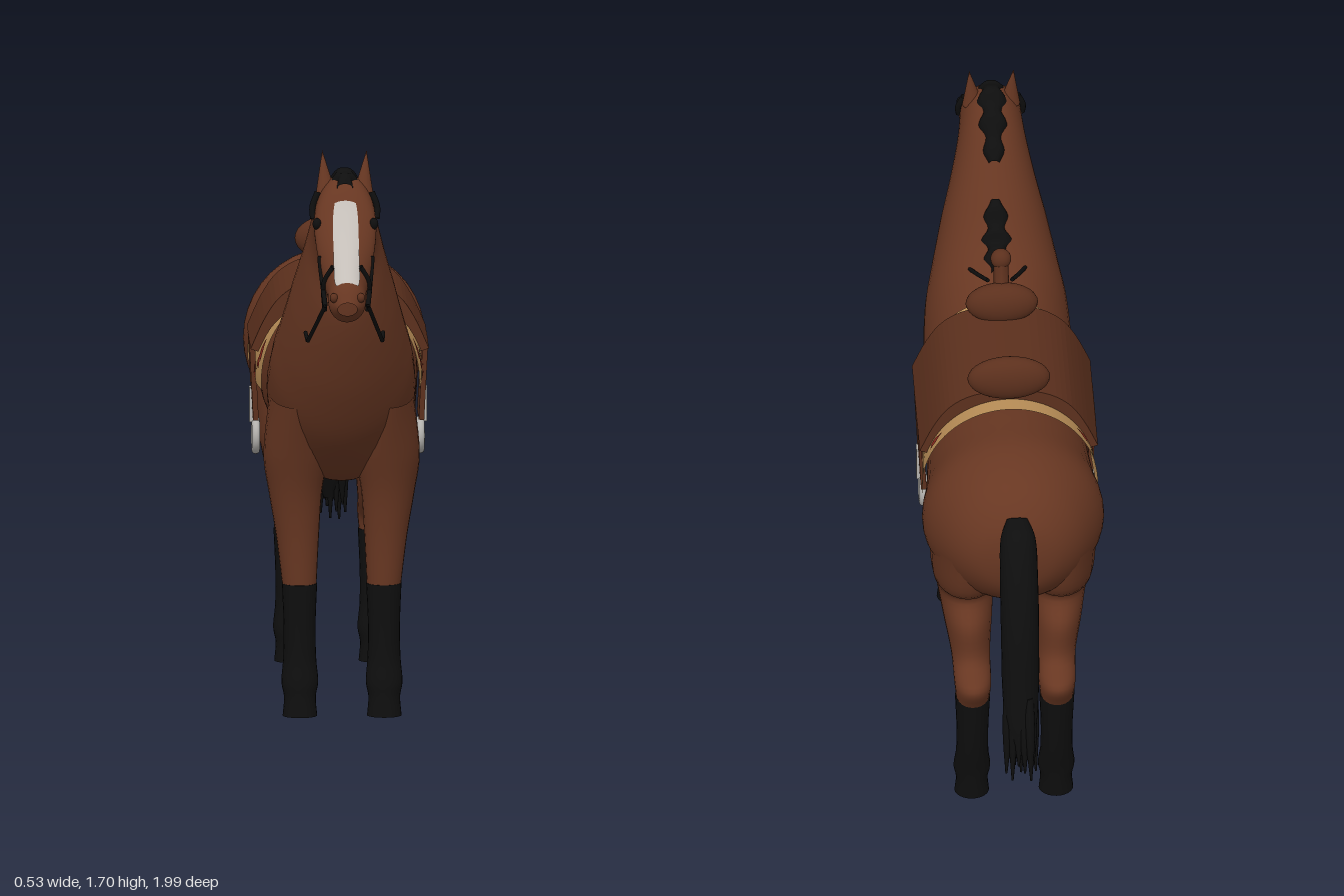
import * as THREE from 'three';

const mat = (name, color, double) => {
  const m = new THREE.MeshStandardMaterial({ color });
  m.name = name;
  if (double) m.side = THREE.DoubleSide;
  return m;
};

// A ring is [edgeA z, edgeA y, edgeB z, edgeB y, half width, centre x].
function section(rings) {
  const a = new THREE.CatmullRomCurve3(rings.map(r => new THREE.Vector3(r[4], r[1], r[0])));
  const b = new THREE.CatmullRomCurve3(rings.map(r => new THREE.Vector3(r[5] || 0, r[3], r[2])));
  const n = rings.length - 1;
  const point = (u, th, off = 0) => {
    const p = a.getPoint(u / n), q = b.getPoint(u / n);
    const hy = (p.y - q.y) / 2, hz = (p.z - q.z) / 2;
    const k = Math.cos(th) * (1 + off / Math.max(Math.hypot(hy, hz), 0.001));
    return new THREE.Vector3(q.x + (p.x + off) * Math.sin(th), (p.y + q.y) / 2 + hy * k, (p.z + q.z) / 2 + hz * k);
  };
  const width = u => a.getPoint(u / n).x;
  // Ring position whose upper edge lies at a given z
  const atZ = z => {
    let lo = 0, hi = n;
    for (let i = 0; i < 30; i++) {
      const m = (lo + hi) / 2;
      if (a.getPoint(m / n).z < z) lo = m; else hi = m;
    }
    return lo;
  };
  return { point, width, atZ, n };
}

// Grid surface from point(i/rows, j/cols); wrap closes each ring, caps close the ends
function grid(fn, rows, cols, wrap) {
  const pos = [], idx = [], stride = wrap ? cols : cols + 1;
  for (let i = 0; i <= rows; i++)
    for (let j = 0; j < stride; j++) pos.push(...fn(i / rows, j / cols).toArray());
  for (let i = 0; i < rows; i++)
    for (let j = 0; j < cols; j++) {
      const k = wrap ? (j + 1) % cols : j + 1;
      const p = i * stride + j, q = p + stride, r = i * stride + k, s = r + stride;
      idx.push(p, q, r, q, s, r);
    }
  if (wrap) for (const end of [0, 1]) {
    const base = pos.length / 3, c = new THREE.Vector3();
    for (let j = 0; j < cols; j++) {
      const v = fn(end, j / cols);
      c.addScaledVector(v, 1 / cols);
      pos.push(...v.toArray());
    }
    pos.push(...c.toArray());
    for (let j = 0; j < cols; j++) {
      const p = base + j, q = base + (j + 1) % cols;
      idx.push(base + cols, end ? q : p, end ? p : q);
      if (end) idx.splice(-3, 3, base + cols, p, q);
      else idx.splice(-3, 3, base + cols, q, p);
    }
  }
  const g = new THREE.BufferGeometry();
  g.setAttribute('position', new THREE.Float32BufferAttribute(pos, 3));
  g.setIndex(idx);
  g.computeVertexNormals();
  return g;
}

const loft = (rings, cols = 24, steps = 5) => {
  const s = section(rings);
  return grid((u, v) => s.point(u * s.n, v * Math.PI * 2), s.n * steps, cols, true);
};

export function createModel() {
  const root = new THREE.Group();
  root.name = 'saddledHorse';
  const coat = mat('chestnutCoat', 0x683722), leather = mat('saddleLeather', 0x5c301d, true);
  const black = mat('blackHair', 0x0e0e0e, true), white = mat('blazeWhite', 0xc4beb8, true);
  const tan = mat('blanketTan', 0xbd9159, true), red = mat('blanketRed', 0x8c2a1e, true);
  const metal = mat('stirrupMetal', 0xb4b2ae);

  const add = (name, geo, m, p) => {
    const mesh = new THREE.Mesh(geo, m);
    mesh.name = name;
    if (p) mesh.position.copy(p.isVector3 ? p : new THREE.Vector3(...p));
    root.add(mesh);
    return mesh;
  };
  const ball = (name, m, p, sx, sy, sz) => {
    const b = add(name, new THREE.SphereGeometry(1, 24, 16), m, p);
    b.scale.set(sx, sy, sz);
    return b;
  };
  const cord = (name, pts, r, m = black, straight = false) => {
    const curve = new THREE.CatmullRomCurve3(pts.map(p => new THREE.Vector3(...p)), false, 'catmullrom', straight ? 0.02 : 0.5);
    return add(name, new THREE.TubeGeometry(curve, 24, r, 8), m);
  };

  // Trunk, neck and head as one surface from rump to nose
  const trunk = [
    [-.762, .985, -.762, .955, .015], [-.735, 1.09, -.735, .85, .125], [-.66, 1.175, -.66, .765, .205],
    [-.53, 1.215, -.53, .70, .262], [-.38, 1.205, -.38, .685, .245], [-.2, 1.185, -.2, .69, .232],
    [0, 1.18, 0, .69, .228], [.2, 1.2, .2, .69, .215], [.27, 1.23, .34, .68, .215],
    [.33, 1.27, .48, .80, .205], [.38, 1.325, .575, .95, .18], [.44, 1.41, .635, 1.09, .152],
    [.51, 1.51, .67, 1.2, .122], [.575, 1.59, .69, 1.31, .10], [.645, 1.635, .725, 1.355, .09],
    [.70, 1.61, .78, 1.365, .09], [.76, 1.54, .82, 1.34, .083], [.84, 1.46, .865, 1.285, .068],
    [.915, 1.40, .90, 1.26, .056], [.97, 1.36, .95, 1.25, .052], [1.0, 1.315, .985, 1.275, .028]];
  add('body', loft(trunk, 40, 6), coat);
  const body = section(trunk);

  // Sheet lying on the body between two ring positions
  const patch = (name, m, u0, u1, range, off, rows = 24, cols = 12) =>
    add(name, grid((u, v) => {
      const k = u0 + (u1 - u0) * u, [t0, t1] = range(k, u);
      return body.point(k, t0 + (t1 - t0) * v, typeof off === 'function' ? off(u, v) : off);
    }, rows, cols, false), m);
  const band = (k, half) => { const t = Math.asin(Math.min(.95, half / body.width(k))); return [-t, t]; };

  // Face
  patch('blaze', white, 15.65, 18.9, (k, u) => band(k, .035 - .006 * Math.pow(2 * u - 1, 6)), .004);
  for (const s of [1, -1]) {
    ball('eye', black, body.point(15.5, s * 1.22), .013, .017, .017);
    ball('nostril', leather, body.point(19.3, s * 1.0), .012, .014, .014);
    const ear = add('ear', new THREE.ConeGeometry(.03, .13, 16), coat, [s * .059, 1.638, .648]);
    ear.scale.z = .8;
    ear.rotation.set(-.12, 0, -s * .08);
  }

  // Mane tufts, raised along the middle
  const hump = h => (u, v) => h * (1 - Math.pow(2 * v - 1, 4)) * (.75 + .25 * Math.sin(u * 23)) - .002;
  for (const [u0, u1] of [[8.2, 10.8], [11.7, 15.1]])
    patch('mane', black, u0, u1,
      (k, u) => band(k, (.036 + .009 * Math.sin(k * 8)) * Math.pow(Math.sin(Math.PI * (.06 + .88 * u)), .4)), hump(.02), 40);

  // Legs with dark stockings
  const foreleg = [[.50, .92, .15, .95, .075], [.45, .77, .21, .74, .092], [.415, .65, .25, .645, .077],
    [.395, .52, .27, .52, .062], [.385, .37, .285, .37, .049]];
  const hindleg = [[-.3, .9, -.70, .92, .11], [-.29, .75, -.655, .77, .1], [-.305, .64, -.56, .69, .083],
    [-.36, .55, -.60, .61, .07], [-.45, .465, -.61, .50, .056], [-.53, .41, -.69, .45, .053], [-.545, .365, -.648, .365, .047]];
  const foreSock = [[.388, .38, .283, .38, .051], [.396, .25, .303, .25, .046], [.405, .16, .31, .16, .048],
    [.42, .095, .325, .095, .053], [.424, .055, .335, .055, .046], [.435, 0, .34, 0, .05]];
  const hindSock = [[-.543, .38, -.652, .38, .051], [-.535, .25, -.635, .25, .046], [-.525, .16, -.62, .16, .047],
    [-.51, .095, -.605, .095, .053], [-.507, .055, -.6, .055, .046], [-.5, 0, -.595, 0, .05]];
  for (const s of [1, -1]) {
    const at = rings => rings.map(r => [...r, s * (.122 + .012 * THREE.MathUtils.smoothstep(r[1], .4, .65))]);
    add('frontLeg', loft(at(foreleg)), coat);
    add('hindLeg', loft(at(hindleg)), coat);
    add('frontStocking', loft(at(foreSock)), black);
    add('hindStocking', loft(at(hindSock)), black);
  }

  // Tail with ragged strands
  add('tail', loft([[-.715, 1.09, -.735, 1.115, .03], [-.735, 1.04, -.80, 1.095, .05], [-.785, .93, -.875, .97, .055],
    [-.83, .77, -.93, .80, .055], [-.86, .62, -.955, .63, .053], [-.89, .49, -.975, .49, .042], [-.925, .41, -.96, .41, .018]]), black);
  for (let i = 0; i < 11; i++) {
    const x = -.04 + .008 * i, z = -.90 - .075 * ((i * 5) % 11) / 10, end = .335 + .07 * ((i * 7) % 11) / 10;
    add('tailStrand', loft([[z + .05, .62, z + .02, .62, .014, x * .9], [z + .016, .5, z - .014, .5, .014, x],
      [z - .012, end, z - .018, end, .003, x * 1.1]], 8), black);
  }

  // Saddle blanket with red motifs
  const zs = z => body.atZ(z);
  patch('blanket', tan, zs(-.345), zs(.19), () => [-1.66, 1.66], .013, 20, 48);
  const motifs = [[.09, .145, 1.13, 1.36], [.07, .12, 1.3, 1.46], [.12, .15, .4, .75], [-.05, .06, 1.48, 1.58],
    [-.03, .01, 1.4, 1.5], [-.2, -.165, 1.42, 1.6], [-.33, -.305, .9, 1.1]];
  for (const [z0, z1, t0, t1] of motifs)
    for (const s of [1, -1])
      patch('blanketMotif', red, zs(z0), zs(z1), (k, u) => {
        const c = (t0 + t1) / 2 + .03 * Math.sin(u * 9), h = (t1 - t0) / 2 * Math.sqrt(Math.max(.02, 1 - (2 * u - 1) ** 2));
        return [s * c - h, s * c + h];
      }, .017, 12, 4);

  // Saddle seat and flaps
  const arch = half => {
    const all = [...half.slice(1).reverse().map(([x, y]) => [-x, y]), ...half];
    return new THREE.SplineCurve(all.map(p => new THREE.Vector2(...p))).getPoints(32);
  };
  const outer = arch([[0, 1.237], [.1, 1.225], [.17, 1.185], [.217, 1.12], [.258, 1.03]]);
  const inner = arch([[0, 1.18], [.09, 1.175], [.15, 1.14], [.2, 1.09], [.236, 1.022]]);
  add('saddle', new THREE.ExtrudeGeometry(new THREE.Shape([...outer, ...inner.reverse()]),
    { depth: .41, bevelEnabled: false }), leather, [0, 0, -.285]);
  ball('cantle', leather, [0, 1.285, -.285], .12, .07, .042);
  ball('pommel', leather, [0, 1.275, .09], .105, .065, .045);
  cord('hornPost', [[0, 1.3, .1], [0, 1.35, .122], [0, 1.395, .137]], .022, leather);
  ball('horn', leather, [0, 1.398, .138], .03, .031, .027);

  // Stirrups
  for (const s of [1, -1]) {
    const fender = add('fender', new THREE.BoxGeometry(.016, .23, .175), leather, [s * .245, .915, -.078]);
    fender.rotation.z = -s * .05;
    add('stirrupStrap', new THREE.BoxGeometry(.014, .1, .036), metal, [s * .25, .835, -.075]);
    const ring = add('stirrupRing', new THREE.TorusGeometry(.043, .012, 12, 32), metal, [s * .238, .743, -.077]);
    ring.rotation.y = Math.PI / 2;
  }

  // Bridle and reins
  for (const s of [1, -1]) {
    cord('noseband', [[s * .04, 1.405, .9], [s * .066, 1.35, .878], [s * .062, 1.265, .832]], .007);
    cord('cheekStrap', [[s * .076, 1.42, .815], [s * .073, 1.385, .83], [s * .062, 1.29, .9]], .007);
    cord('crownStrap', [[s * .078, 1.585, .675], [s * .093, 1.545, .683], [s * .092, 1.51, .695]], .009);
    cord('rein', [[s * .062, 1.29, .9], [s * .108, 1.155, .72], [s * .112, 1.165, .63]], .006, black, true);
    cord('reinEnd', [[s * .08, 1.23, .315], [s * .06, 1.258, .25], [s * .035, 1.285, .185]], .006);
  }
  return root;
}
